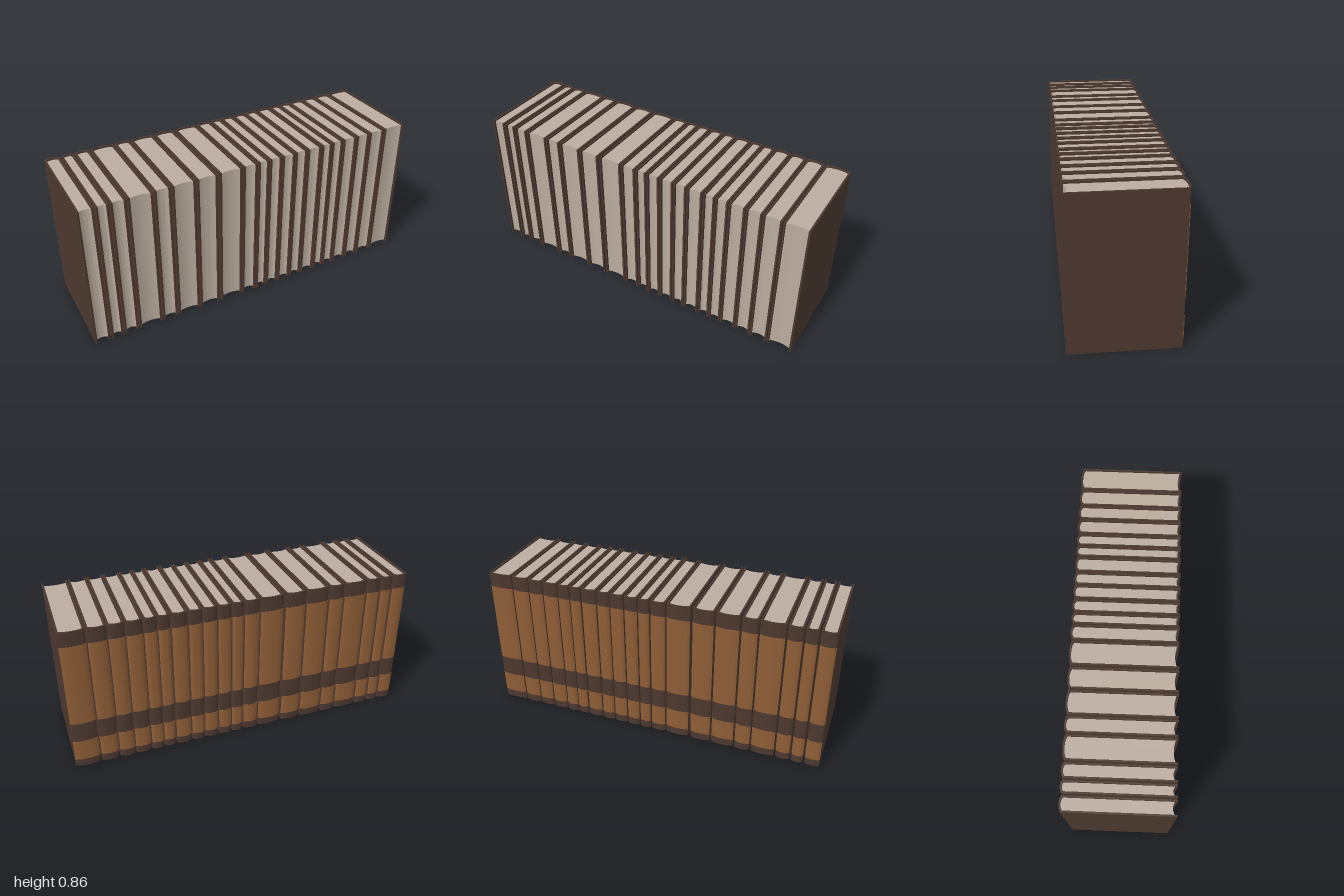
import * as THREE from 'three';
import { toCreasedNormals } from 'three/addons/utils/BufferGeometryUtils.js';

const HEIGHT = 0.86;
const BOARD = 0.01;     // cover thickness
const FRONT = 0.295;    // front edge of the covers
const SHOULDER = -0.283; // where the rounded spine begins
const BULGE = 0.016;    // control offset of the spine curve

// left and right edge of every book along the row
const BOOKS = [
  [-1, -0.916], [-0.906, -0.84], [-0.83, -0.75], [-0.74, -0.607], [-0.598, -0.51],
  [-0.5, -0.37], [-0.36, -0.242], [-0.228, -0.093], [-0.085, 0], [0.008, 0.072],
  [0.079, 0.153], [0.16, 0.238], [0.244, 0.318], [0.325, 0.412], [0.42, 0.485],
  [0.49, 0.56], [0.566, 0.655], [0.661, 0.747], [0.753, 0.853], [0.86, 1],
];

// spine label bands: bottom and top
const BANDS = [[0.045, 0.17], [0.29, 0.775]];

// rounded spine curve from the current point at one side to the other side
function spineArc(shape, from, to, z) {
  shape.bezierCurveTo(from * 0.7, z - BULGE, to * 0.7, z - BULGE, to, z);
}

// plan outline (x, z) raised from y0 to y1
function raise(shape, y0, y1) {
  const g = new THREE.ExtrudeGeometry(shape, { depth: y1 - y0, bevelEnabled: false, curveSegments: 10 });
  g.rotateX(Math.PI / 2);
  g.translate(0, y1, 0);
  return toCreasedNormals(g, 0.6);
}

// U-shaped case: two boards joined by the rounded spine
function caseShape(w) {
  const i = w - BOARD;
  const s = new THREE.Shape();
  s.moveTo(-w, FRONT);
  s.lineTo(-w, SHOULDER);
  spineArc(s, -w, w, SHOULDER);
  s.lineTo(w, FRONT);
  s.lineTo(i, FRONT);
  s.lineTo(i, SHOULDER + BOARD);
  spineArc(s, i, -i, SHOULDER + BOARD);
  s.lineTo(-i, FRONT);
  s.closePath();
  return s;
}

// page block with a hollow fore edge
function pageShape(w) {
  const i = w - BOARD;
  const z = SHOULDER + BOARD;
  const s = new THREE.Shape();
  s.moveTo(-i, 0.282);
  s.lineTo(-i, z);
  spineArc(s, -i, i, z);
  s.lineTo(i, 0.282);
  s.quadraticCurveTo(0, 0.262, -i, 0.282);
  return s;
}

// thin curved plate lying on the spine
function bandShape(w) {
  const b = w - 0.0005;
  const s = new THREE.Shape();
  s.moveTo(-b, SHOULDER + 0.001);
  s.lineTo(-b, SHOULDER - 0.0015);
  spineArc(s, -b, b, SHOULDER - 0.0015);
  s.lineTo(b, SHOULDER + 0.001);
  spineArc(s, b, -b, SHOULDER + 0.001);
  return s;
}

export function createModel() {
  const leather = new THREE.MeshStandardMaterial({ color: 0x4b382f });
  leather.name = 'dark brown leather';
  const paper = new THREE.MeshStandardMaterial({ color: 0xbaac9f });
  paper.name = 'aged paper';
  const tan = new THREE.MeshStandardMaterial({ color: 0x8e5d36 });
  tan.name = 'tan label';

  const model = new THREE.Group();
  model.name = 'rowOfBooks';

  BOOKS.forEach(([x0, x1], n) => {
    const w = (x1 - x0) / 2;
    const book = new THREE.Group();
    book.name = `book${n + 1}`;
    book.position.x = (x0 + x1) / 2;

    const add = (name, geometry, material) => {
      const mesh = new THREE.Mesh(geometry, material);
      mesh.name = name;
      book.add(mesh);
    };
    add('cover', raise(caseShape(w), 0, HEIGHT), leather);
    add('pages', raise(pageShape(w), 0.013, HEIGHT - 0.01), paper);
    BANDS.forEach(([y0, y1], k) =>
      add(k ? 'upperSpineLabel' : 'lowerSpineLabel', raise(bandShape(w), y0, y1), tan));
    model.add(book);
  });
  return model;
}
